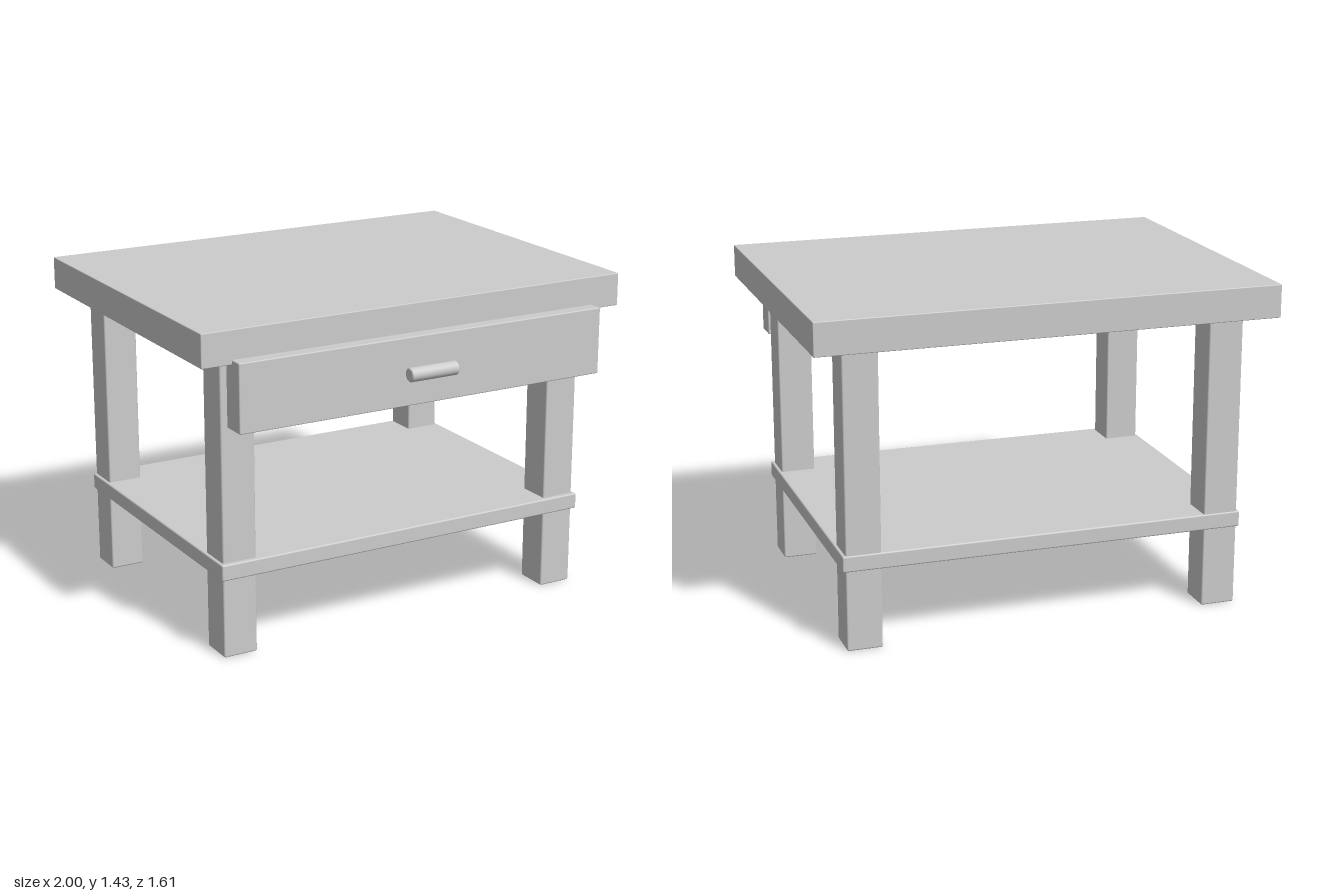
import * as THREE from 'three';
import { RoundedBoxGeometry } from 'three/addons/geometries/RoundedBoxGeometry.js';

const material = new THREE.MeshStandardMaterial({ color: 0xcccccc });

// Softly bevelled board given by its extents on each axis
function board(name, [x0, x1], [y0, y1], [z0, z1], bevel = 0.007) {
  const mesh = new THREE.Mesh(
    new RoundedBoxGeometry(x1 - x0, y1 - y0, z1 - z0, 2, bevel), material);
  mesh.name = name;
  mesh.position.set((x0 + x1) / 2, (y0 + y1) / 2, (z0 + z1) / 2);
  return mesh;
}

export function createModel() {
  const table = new THREE.Group();
  table.name = 'sideTable';

  // Table top and lower shelf
  table.add(board('tableTop', [-1, 1], [1.287, 1.43], [-0.803, 0.681], 0.004));
  table.add(board('shelf', [-0.884, 0.88], [0.348, 0.418], [-0.718, 0.598]));

  // Four square legs
  const legs = new THREE.Group();
  legs.name = 'legs';
  for (const [side, x] of [['Right', [-0.871, -0.719]], ['Left', [0.715, 0.867]]]) {
    for (const [end, z] of [['front', [0.426, 0.578]], ['back', [-0.714, -0.562]]]) {
      legs.add(board(`${end}${side}Leg`, x, [0, 1.29], z));
    }
  }
  table.add(legs);

  // Drawer front with a horizontal bar handle
  const drawer = new THREE.Group();
  drawer.name = 'drawer';
  drawer.add(board('drawerFront', [-0.867, 0.865], [1.015, 1.307], [0.628, 0.74], 0.005));
  const r = 0.03, half = 0.113, bevel = 0.004;
  const profile = [
    [0, -half], [r - bevel, -half], [r - bevel, -half], [r, -half + bevel], [r, -half + bevel],
    [r, half - bevel], [r, half - bevel], [r - bevel, half], [r - bevel, half], [0, half],
  ].map(([x, y]) => new THREE.Vector2(x, y));
  // Each profile section is lathed separately to keep the rims crisp
  const handle = new THREE.Group();
  handle.name = 'drawerHandle';
  for (let i = 0; i < profile.length; i += 2) {
    const section = new THREE.Mesh(
      new THREE.LatheGeometry([profile[i], profile[i + 1]], 32), material);
    section.name = ['rightCap', 'rightRim', 'bar', 'leftRim', 'leftCap'][i / 2];
    handle.add(section);
  }
  handle.rotation.z = -Math.PI / 2;
  handle.position.set(0, 1.159, 0.776);
  drawer.add(handle);
  table.add(drawer);

  return table;
}
